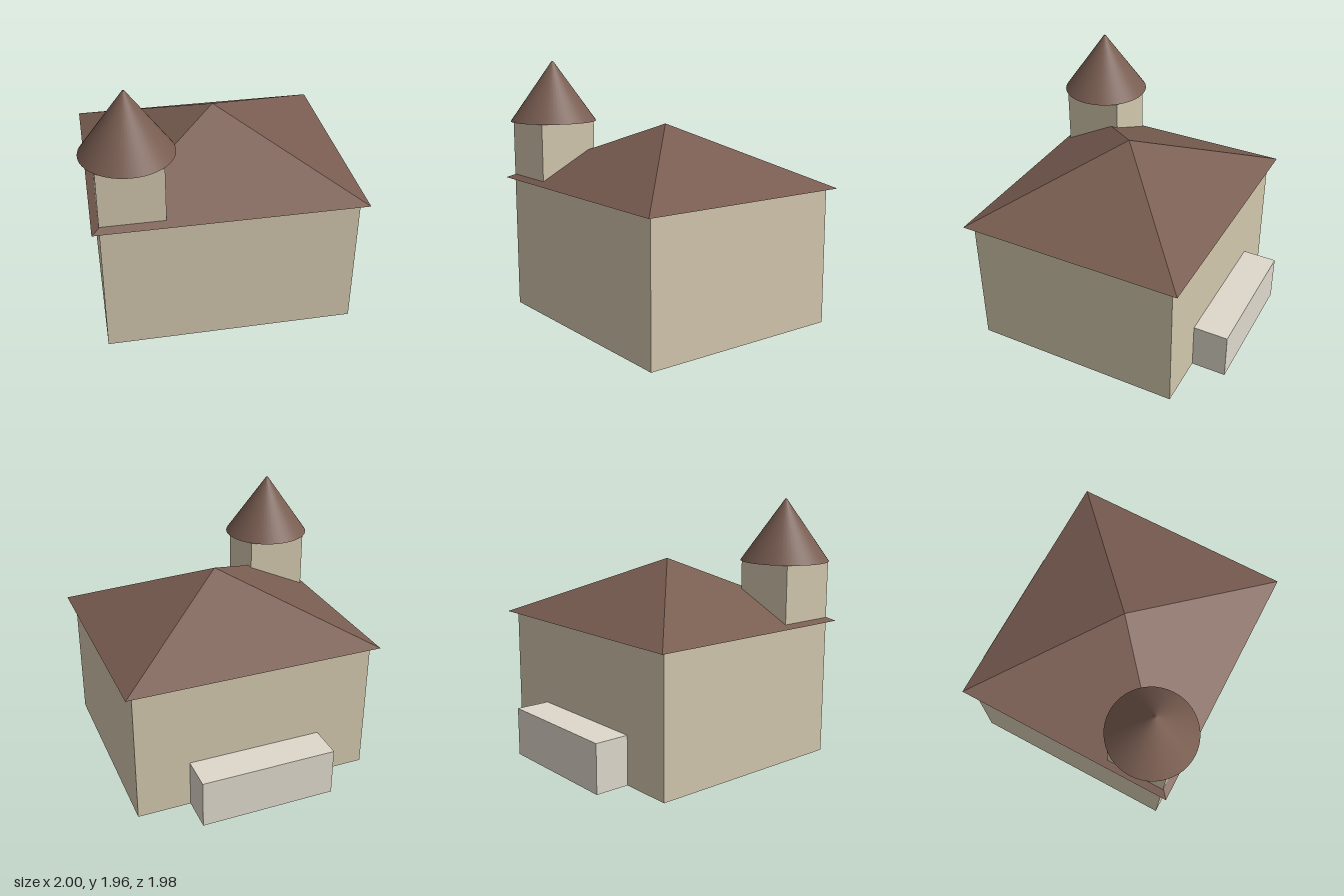
import * as THREE from 'three';

const WALL = 0xd2c7ae, ROOF = 0x795d51, ANNEX = 0xdfd9cc;

// Box from its minimum and maximum corners
function block(name, color, [x0, y0, z0], [x1, y1, z1]) {
  const mesh = new THREE.Mesh(
    new THREE.BoxGeometry(x1 - x0, y1 - y0, z1 - z0),
    new THREE.MeshStandardMaterial({ color })
  );
  mesh.name = name;
  mesh.position.set((x0 + x1) / 2, (y0 + y1) / 2, (z0 + z1) / 2);
  return mesh;
}

export function createModel() {
  const house = new THREE.Group();
  house.name = 'house';

  // Main walls, rear annex and square corner tower
  house.add(
    block('walls', WALL, [-0.9, 0, -0.725], [0.94, 1.04, 0.885]),
    block('rearAnnex', ANNEX, [-0.5, 0, -0.99], [0.535, 0.37, -0.725]),
    block('tower', WALL, [-0.9, 1.04, 0.43], [-0.44, 1.5, 0.885])
  );

  // Overhanging four-sided roof: unit pyramid stretched to the eaves
  const pyramid = new THREE.ConeGeometry(Math.SQRT1_2, 1, 4);
  pyramid.rotateY(Math.PI / 4).translate(0, 0.5, 0).scale(1.95, 0.457, 1.722);
  const roof = new THREE.Mesh(
    pyramid,
    new THREE.MeshStandardMaterial({ color: ROOF, flatShading: true })
  );
  roof.name = 'roof';
  roof.position.set(0.022, 1.04, 0.077);
  house.add(roof);

  // Smooth conical tower roof with a tiny blunt tip
  const towerRoof = new THREE.Mesh(
    new THREE.CylinderGeometry(0.007, 0.332, 0.46, 48),
    new THREE.MeshStandardMaterial({ color: ROOF })
  );
  towerRoof.name = 'towerRoof';
  towerRoof.position.set(-0.668, 1.73, 0.655);
  house.add(towerRoof);

  return house;
}
